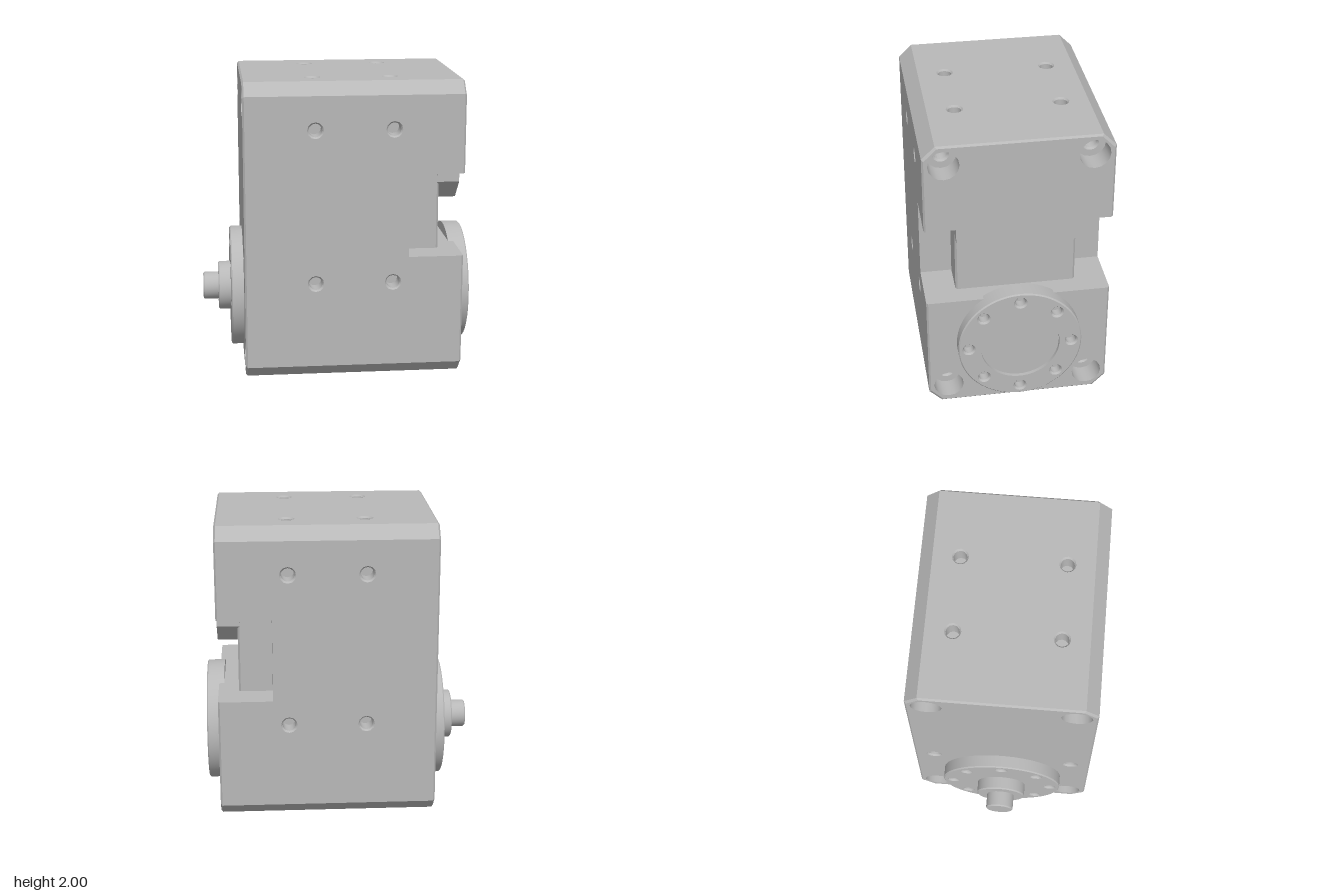
import * as THREE from 'three';
import { toCreasedNormals } from 'three/addons/utils/BufferGeometryUtils.js';

const X0 = -0.635, X1 = 0.82, B = 0.012;        // body ends and their small bevel
const HZ = 0.61, C = 0.085;                     // half depth and long edge chamfer
const YB = 0.83, YT = 1.39, NX = 0.455;         // notch floor, ceiling and back wall
const AXIS_Y = 0.487, RING = 0.345;             // flange centre height, bolt circle

export function createModel() {
  const group = new THREE.Group();
  const steel = new THREE.MeshStandardMaterial({ color: 0xb8b8b8, side: THREE.DoubleSide });
  steel.name = 'machined steel';

  const add = (name, geometry, parent = group) => {
    const mesh = new THREE.Mesh(geometry, steel);
    mesh.name = name;
    parent.add(mesh);
    return mesh;
  };
  const circle = (r, n, cx = 0, cy = 0) => Array.from({ length: n }, (_, i) => {
    const a = (i / n) * Math.PI * 2;
    return [cx + r * Math.cos(a), cy + r * Math.sin(a)];
  });
  const toVec = (pts) => pts.map(([a, b]) => new THREE.Vector2(a, b));

  // Turned part along local z, from [radius, height] points
  const turned = (pts, n) =>
    toCreasedNormals(new THREE.LatheGeometry(toVec(pts), n).rotateX(Math.PI / 2), 0.6);

  // Hole profiles, rim first
  const bolt = { n: 12, p: [[0.055, 0], [0.045, -0.012], [0.045, -0.12], [0, -0.12]] };
  const screw = { n: 12, p: [[0.045, 0], [0.035, -0.012], [0.035, -0.07], [0, -0.07]] };
  const counterbore = { n: 16, p: [[0.1, 0], [0.1, -0.15], [0.055, -0.15], [0.045, -0.165], [0.045, -0.3], [0, -0.3]] };
  const recess = { n: 64, p: [[0.265, 0], [0.265, -0.025], [0, -0.025]] };

  // Flat face on the plane (origin, u, v), with holes listed as [u, v, profile]
  const panel = (name, pts, origin, u, v, holes = []) => {
    const face = new THREE.Group();
    face.name = name;
    const U = new THREE.Vector3(...u).normalize(), V = new THREE.Vector3(...v).normalize();
    face.matrix.makeBasis(U, V, U.clone().cross(V)).setPosition(...origin);
    face.matrix.decompose(face.position, face.quaternion, face.scale);
    const shape = new THREE.Shape(toVec(pts));
    for (const [a, b, h] of holes) {
      shape.holes.push(new THREE.Path(toVec(circle(h.p[0][0], h.n, a, b))));
      add(name + 'Hole', turned(h.p, h.n), face).position.set(a, b, 0);
    }
    add(name + 'Surface', new THREE.ShapeGeometry(shape), face);
    group.add(face);
    return face;
  };

  // Front and back with the side notches
  const xs = [-0.165, 0.35], xa = X0 + B, xb = X1 - B;
  const side = [[xa, C], [xb, C], [xb, YB], [NX, YB], [NX, YT], [xb, YT], [xb, 2 - C], [xa, 2 - C]];
  for (const s of [1, -1]) {
    panel(s > 0 ? 'frontFace' : 'backFace', side.map(([x, y]) => [s * x, y]), [0, 0, s * HZ], [s, 0, 0], [0, 1, 0],
      xs.flatMap((x) => [0.66, 1.69].map((y) => [s * x, y, bolt])));
  }

  // Top and bottom
  const W = HZ - C, cap = [[xa, -W], [xb, -W], [xb, W], [xa, W]];
  const capHoles = (list) => list.flatMap((x) => [-0.345, 0.345].map((z) => [x, z, bolt]));
  panel('topFace', cap, [0, 2, 0], [1, 0, 0], [0, 0, -1], capHoles(xs));
  panel('bottomFace', cap, [0, 0, 0], [1, 0, 0], [0, 0, 1], capHoles([xs[0]]));

  // Long chamfers
  const h = C * Math.SQRT1_2;
  for (const sy of [1, -1]) for (const sz of [1, -1]) {
    panel('edgeChamfer', [[xa, -h], [xb, -h], [xb, h], [xa, h]],
      [0, 1 + sy * (1 - C / 2), sz * (HZ - C / 2)], [1, 0, 0], [0, -sz, sy]);
  }

  // End outlines as [z, y], and the bevels around them
  const upper = [[HZ, YT], [HZ, 2 - C], [W, 2], [-W, 2], [-HZ, 2 - C], [-HZ, YT]];
  const lower = [[-HZ, YB], [-HZ, C], [-W, 0], [W, 0], [HZ, C], [HZ, YB]];
  const whole = [...upper.slice(1, 5), ...lower.slice(1, 5)];
  const inset = ([z, y]) => [z * (1 - B / HZ), y === YT || y === YB ? y : 1 + (y - 1) * (1 - B)];
  const bevel = (name, pts, x, dir) => {
    const pos = [];
    for (let i = 0; i < pts.length - 1; i++) {
      const [a, b] = [pts[i], pts[i + 1]];
      const [a2, b2] = [inset(a), inset(b)];
      const q = [[x - dir * B, a], [x - dir * B, b], [x, b2], [x, a2]].map(([px, [z, y]]) => [px, y, z]);
      const order = dir > 0 ? [0, 1, 2, 0, 2, 3] : [0, 2, 1, 0, 3, 2];
      for (const k of order) pos.push(...q[k]);
    }
    const g = new THREE.BufferGeometry();
    g.setAttribute('position', new THREE.Float32BufferAttribute(pos, 3));
    g.computeVertexNormals();
    add(name, g);
  };
  bevel('outputEndBevelUpper', upper, X1, 1);
  bevel('outputEndBevelLower', lower, X1, 1);
  bevel('inputEndBevel', [...whole, whole[0]], X0, -1);

  // End faces with corner counterbores
  const corners = (y) => [-0.475, 0.475].map((z) => [z, y, counterbore]);
  const flipZ = ([z, y]) => [-z, y];
  panel('outputEndUpper', upper.map(inset).map(flipZ), [X1, 0, 0], [0, 0, -1], [0, 1, 0], corners(1.865));
  panel('outputEndLower', lower.map(inset).map(flipZ), [X1, 0, 0], [0, 0, -1], [0, 1, 0], corners(0.14));
  panel('inputEnd', whole.map(inset), [X0, 0, 0], [0, 0, 1], [0, 1, 0],
    [...corners(1.865), ...corners(0.14), [-0.475, 0.82, bolt], [0.475, 0.82, bolt]]);

  // Notch floor, ceiling and back wall
  const z2 = HZ - B;
  const ledge = [[NX, -HZ], [xb, -HZ], [X1, -z2], [X1, z2], [xb, HZ], [NX, HZ]];
  panel('notchFloor', ledge, [0, YB, 0], [1, 0, 0], [0, 0, -1]);
  panel('notchCeiling', ledge, [0, YT, 0], [1, 0, 0], [0, 0, 1]);
  panel('notchWall', [[-HZ, YB], [HZ, YB], [HZ, YT], [-HZ, YT]], [NX, 0, 0], [0, 0, -1], [0, 1, 0]);

  // Pillar inside the notch
  const pillar = new THREE.Shape(toVec([[NX, -0.4], [0.67, -0.4], [0.683, -0.387], [0.683, 0.387], [0.67, 0.4], [NX, 0.4]]));
  add('notchPillar', new THREE.ExtrudeGeometry(pillar, { depth: YT - YB, bevelEnabled: false })
    .rotateX(-Math.PI / 2)).position.y = YB;

  // Tapered block hanging over the notch
  const hang = new THREE.Shape(toVec([[-0.405, YT], [-0.405, 1.29], [-0.265, 1.155], [0.265, 1.155], [0.405, 1.29], [0.405, YT]]));
  add('hangingBlock', new THREE.ExtrudeGeometry(hang, { depth: X1 - 0.67, bevelEnabled: false })
    .rotateY(Math.PI / 2)).position.x = 0.67;

  // Flanges: drilled face plus turned rim
  const screws = circle(RING, 8).map(([a, b]) => [a, b, screw]);
  const R = 0.415, r = R - 0.008;
  const out = panel('outputFlange', circle(r, 64), [0.905, AXIS_Y, 0], [0, 0, -1], [0, 1, 0], [...screws, [0, 0, recess]]);
  add('outputFlangeRim', turned([[0, -0.12], [R, -0.12], [R, -0.008], [r, 0]], 64), out);

  const inp = panel('inputFlange', circle(r, 64), [-0.72, AXIS_Y, 0], [0, 0, 1], [0, 1, 0], screws);
  add('inputFlangeRim', turned([[R, -0.085], [R, -0.008], [r, 0]], 64), inp);
  add('inputHub', turned([[0.168, 0], [0.168, 0.077], [0.16, 0.085], [0.09, 0.085]], 48), inp);
  add('inputShaft', turned([[0.095, 0.085], [0.095, 0.182], [0.087, 0.19], [0, 0.19]], 32), inp);

  // Flush key plate under the output flange
  add('keyPlate', new THREE.BoxGeometry(0.143, 0.055, 0.3)).position.set(0.7515, 0.0475, 0);

  return group;
}
